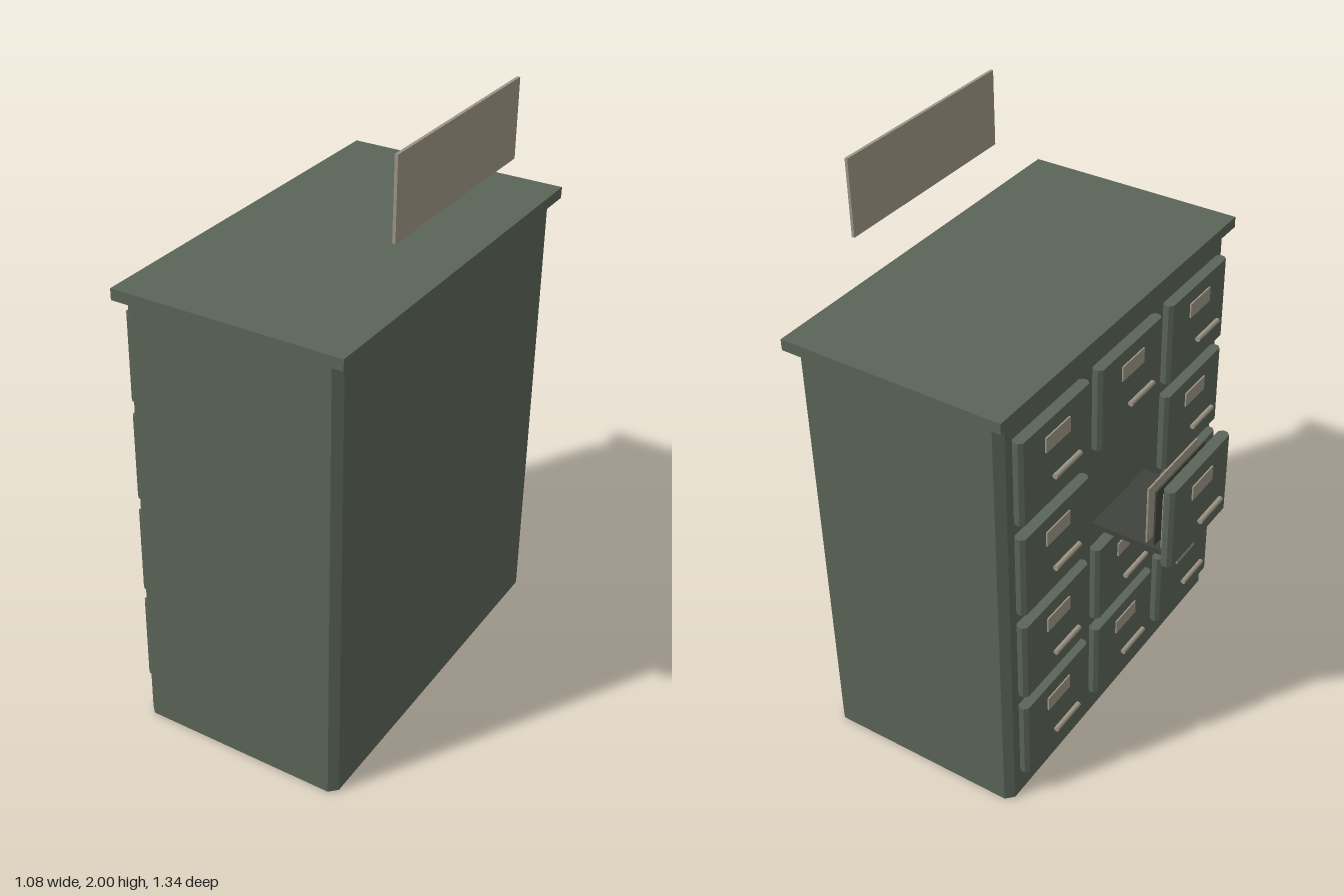
import * as THREE from 'three';

const green = new THREE.MeshStandardMaterial({ name: 'paintedGreen', color: 0x5a6457 });
const tan = new THREE.MeshStandardMaterial({ name: 'paperTan', color: 0x9c9484 });
const dark = new THREE.MeshStandardMaterial({ name: 'darkInterior', color: 0x40433d });

function box(name, mat, x0, x1, y0, y1, z0, z1) {
  const mesh = new THREE.Mesh(new THREE.BoxGeometry(x1 - x0, y1 - y0, z1 - z0), mat);
  mesh.position.set((x0 + x1) / 2, (y0 + y1) / 2, (z0 + z1) / 2);
  mesh.name = name;
  return mesh;
}

// Upright block with its four vertical edges chamfered
function chamferedBlock(name, mat, x0, x1, y0, y1, halfZ, c) {
  const shape = new THREE.Shape([
    [x0 + c, -halfZ], [x1 - c, -halfZ], [x1, -halfZ + c], [x1, halfZ - c],
    [x1 - c, halfZ], [x0 + c, halfZ], [x0, halfZ - c], [x0, -halfZ + c],
  ].map(([x, y]) => new THREE.Vector2(x, y)));
  const geo = new THREE.ExtrudeGeometry(shape, { depth: y1 - y0, bevelEnabled: false });
  geo.rotateX(-Math.PI / 2);
  const mesh = new THREE.Mesh(geo, mat);
  mesh.position.y = y0;
  mesh.name = name;
  return mesh;
}

// Drawer front with label and pull bar, origin at the centre of its height
function drawer() {
  const g = new THREE.Group();
  g.name = 'drawer';
  g.add(chamferedBlock('drawerFront', green, -0.242, -0.203, -0.146, 0.146, 0.182, 0.012));
  g.add(box('label', tan, -0.247, -0.241, 0.045, 0.097, -0.063, 0.063));
  const pull = new THREE.Mesh(new THREE.CylinderGeometry(0.009, 0.009, 0.135, 10), tan);
  pull.name = 'pullBar';
  pull.rotation.x = Math.PI / 2;
  pull.position.set(-0.277, -0.022, 0);
  g.add(pull);
  return g;
}

export function createModel() {
  const model = new THREE.Group();
  model.name = 'cardCabinet';

  // Carcass, underside and top
  model.add(chamferedBlock('carcass', green, -0.205, 0.511, 0.004, 1.515, 0.648, 0.025));
  model.add(box('underside', dark, -0.18, 0.486, 0, 0.01, -0.623, 0.623));
  model.add(box('topSlab', green, -0.226, 0.536, 1.515, 1.552, -0.67, 0.67));

  // Four rows of three drawers, one pulled open
  for (let row = 0; row < 4; row++) {
    for (let col = -1; col <= 1; col++) {
      const d = drawer();
      const open = row === 2 && col === 0;
      d.position.set(open ? -0.256 : 0, 0.261 + row * 0.345, col * 0.418);
      if (open) d.name = 'openDrawer';
      model.add(d);
    }
  }

  // Tray and index cards of the open drawer
  model.add(box('drawerTray', dark, -0.47, -0.2, 0.827, 0.845, -0.163, 0.163));
  [tan, dark, tan].forEach((mat, i) => {
    const x = -0.45 + i * 0.027;
    model.add(box('indexCard', mat, x - 0.003, x + 0.003, 0.84, 1.055, -0.153, 0.153));
  });

  // Sign panel floating above the back edge
  model.add(box('signPanel', tan, 0.495, 0.505, 1.747, 2, -0.36, 0.36));
  return model;
}
